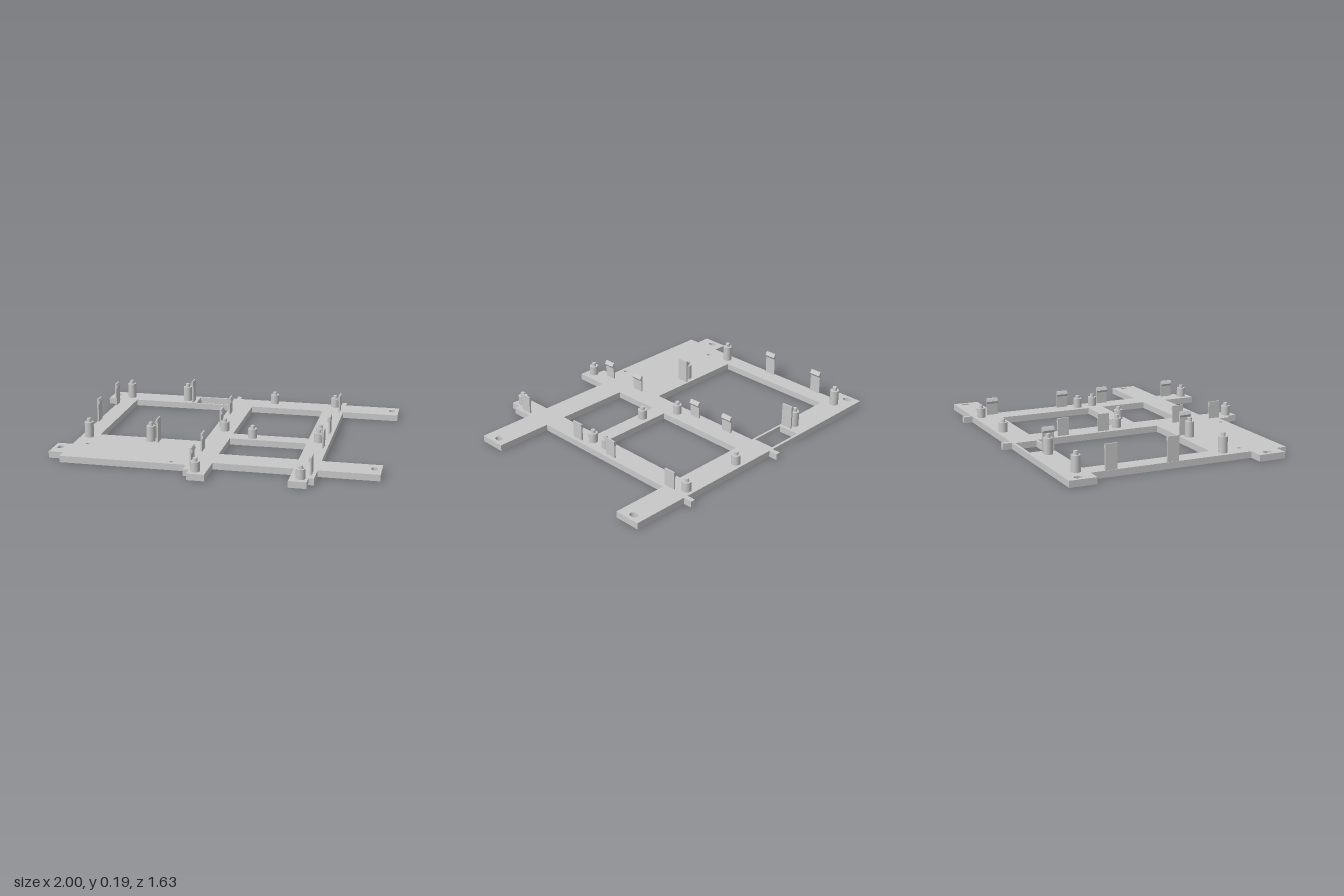
import * as THREE from 'three';

const T = 0.04; // plate thickness

// plan points are [x, z]; shape y is -z so the extrusion can be laid flat
const toPoints = pts => pts.map(([x, z]) => new THREE.Vector2(x, -z));

// holes wind opposite to the outline so their walls face inward
const rectHole = (x0, x1, z0, z1) =>
  new THREE.Path(toPoints([[x0, z0], [x0, z1], [x1, z1], [x1, z0]]));

// rounded slot; half = half the straight length along z (0 gives a round hole)
function slotHole(x, z, r, half) {
  const p = new THREE.Path();
  p.absarc(x, -z + half, r, 0, Math.PI, false);
  p.absarc(x, -z - half, r, Math.PI, 2 * Math.PI, false);
  p.closePath();
  return p;
}

function plateGeometry() {
  const shape = new THREE.Shape(toPoints([
    [-1, -0.76], [-0.128, -0.76], [-0.128, -0.817], [-0.098, -0.817], [-0.098, -0.76],
    [0.608, -0.76], [0.608, -0.817], [0.638, -0.817], [0.638, -0.76], [1, -0.76],
    [1, -0.593], [0.638, -0.593], [0.638, 0.434], [1, 0.434], [1, 0.604],
    [0.638, 0.604], [0.638, 0.75], [0.606, 0.75], [0.606, 0.816], [0.499, 0.816],
    [0.499, 0.604], [0.016, 0.604], [0.016, 0.816], [-0.09, 0.816], [-0.09, 0.75],
    [-0.128, 0.75], [-0.128, 0.671], [-0.908, 0.671], [-0.908, 0.604], [-1, 0.604],
    [-1, 0.434], [-0.908, 0.434], [-0.908, -0.593], [-1, -0.593],
  ]));
  shape.holes.push(
    rectHole(-0.798, -0.128, -0.593, 0.215),
    rectHole(0.016, 0.499, -0.593, 0.023),
    rectHole(0.016, 0.499, 0.125, 0.434),
    rectHole(-0.378, -0.143, -0.743, -0.608),
    slotHole(-0.813, 0.411, 0.014, 0),
    slotHole(-0.223, 0.631, 0.014, 0),
  );
  for (const x of [-0.957, 0.957])
    for (const z of [-0.687, 0.508]) shape.holes.push(slotHole(x, z, 0.019, 0.008));
  const geo = new THREE.ExtrudeGeometry(shape, { depth: T, bevelEnabled: false, curveSegments: 10 });
  return geo.rotateX(-Math.PI / 2);
}

// post with a narrower locating pin on top
function standoff(x, z, shoulder, top, mat) {
  const g = new THREE.Group();
  g.name = 'standoff';
  const post = new THREE.Mesh(new THREE.CylinderGeometry(0.028, 0.028, shoulder - T, 24), mat);
  post.name = 'standoffPost';
  post.position.y = (shoulder + T) / 2;
  const pin = new THREE.Mesh(new THREE.CylinderGeometry(0.013, 0.015, top - shoulder, 20), mat);
  pin.name = 'standoffPin';
  pin.position.y = (top + shoulder) / 2;
  g.add(post, pin);
  g.position.set(x, 0, z);
  return g;
}

// thin upright clip with a hooked tip pointing along dir (+1 or -1 in x)
function clip(x, z, top, dir, mat) {
  const profile = [
    [0, T], [0.01, T], [0.01, top - 0.036], [0.02, top - 0.022],
    [0.018, top - 0.016], [0.01, top], [0, top],
  ].map(([px, py]) => new THREE.Vector2(px * dir, py));
  const geo = new THREE.ExtrudeGeometry(new THREE.Shape(profile), { depth: 0.074, bevelEnabled: false });
  const m = new THREE.Mesh(geo, mat);
  m.name = 'snapClip';
  m.position.set(x, 0, z - 0.037);
  return m;
}

export function createModel() {
  const model = new THREE.Group();
  model.name = 'mountingFrame';
  const grey = new THREE.MeshStandardMaterial({ color: 0xc8c8c8 });
  grey.name = 'grey plastic';

  const plate = new THREE.Mesh(plateGeometry(), grey);
  plate.name = 'basePlate';
  model.add(plate);

  // tall standoffs on the left board
  for (const x of [-0.853, -0.452])
    for (const z of [-0.658, 0.271]) model.add(standoff(x, z, 0.137, 0.16, grey));

  // short standoffs on the two right boards
  for (const [x, z] of [
    [0.152, -0.713], [0.568, -0.713], [-0.05, -0.031], [0.563, -0.031],
    [0.152, 0.078], [0.568, 0.078], [-0.05, 0.76], [0.563, 0.76],
  ]) model.add(standoff(x, z, 0.1, 0.12, grey));

  // clips: x of the back face, height, hook direction, z centres
  const rows = [
    [-0.905, 0.19, 1, [-0.466, -0.081]],
    [-0.399, 0.19, -1, [-0.638, 0.264]],
    [-0.102, 0.15, 1, [-0.414, -0.144, 0.378, 0.646]],
    [0.616, 0.15, -1, [-0.622, -0.126, 0.168, 0.664]],
  ];
  for (const [x, top, dir, zs] of rows)
    for (const z of zs) model.add(clip(x, z, top, dir, grey));

  return model;
}
